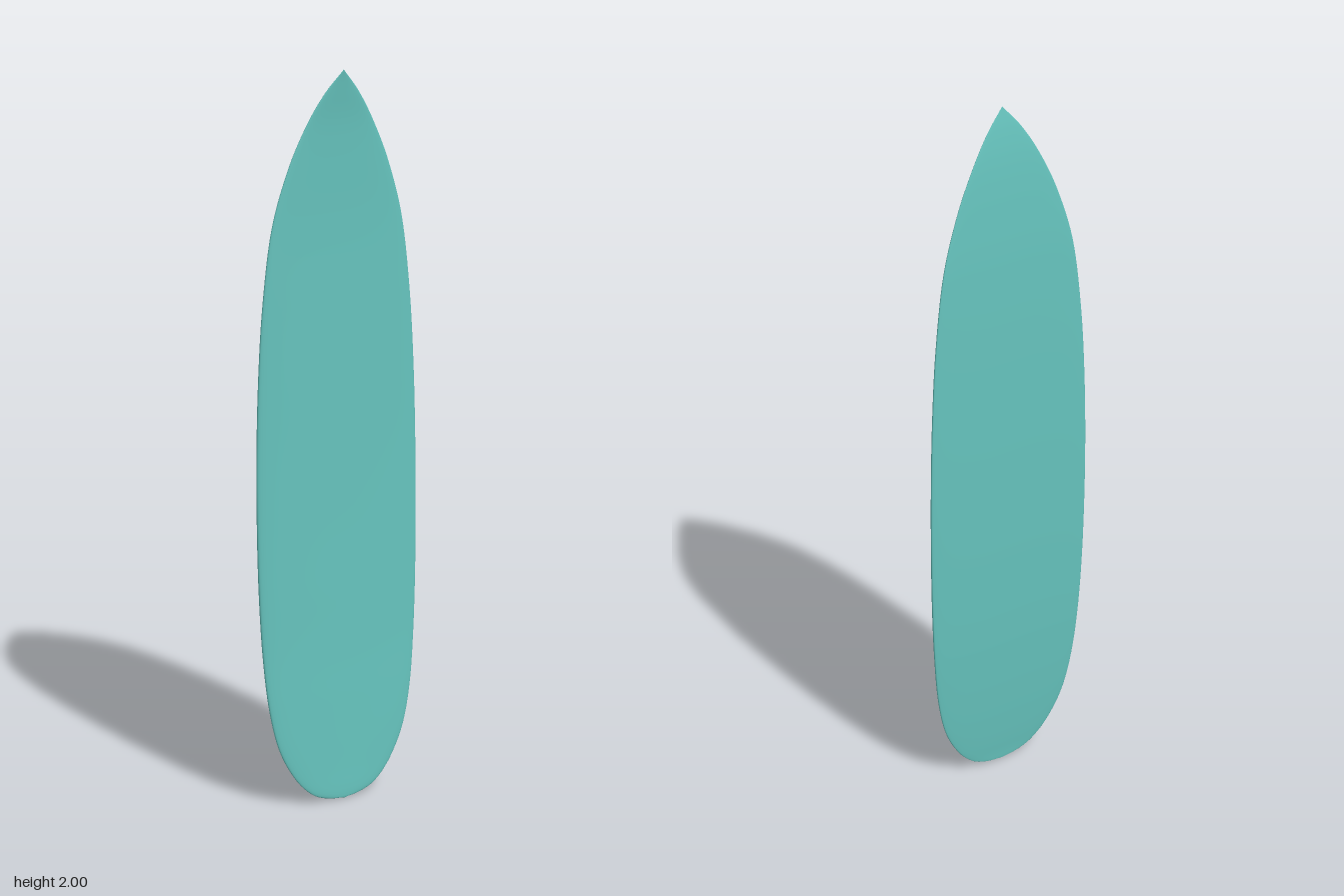
import * as THREE from 'three';

// Stations from tail to nose: [height, half width, z of the bottom, thickness]
const STATIONS = [
  [0.004, 0, 0.018, 0.005], [0.012, 0.055, 0.017, 0.007], [0.035, 0.103, 0.015, 0.009],
  [0.09, 0.152, 0.0095, 0.0125], [0.18, 0.196, 0.002, 0.017], [0.3, 0.222, -0.006, 0.021],
  [0.45, 0.236, -0.014, 0.024], [0.62, 0.243, -0.0195, 0.026], [0.8, 0.245, -0.023, 0.026],
  [1.0, 0.243, -0.025, 0.025], [1.2, 0.236, -0.025, 0.023], [1.4, 0.222, -0.0235, 0.02],
  [1.6, 0.195, -0.02, 0.016], [1.75, 0.15, -0.013, 0.012], [1.86, 0.1, -0.005, 0.008],
  [1.94, 0.051, 0.005, 0.005], [2.0, 0, 0.016, 0.001],
];

// Rounded power used for the superelliptic cross-section
const pow = (v, e) => Math.sign(v) * Math.pow(Math.abs(v), e);

function boardGeometry(rows = 128, sides = 64) {
  const outline = new THREE.CatmullRomCurve3(
    STATIONS.map(([y, w, z]) => new THREE.Vector3(w, y, z)), false, 'catmullrom', 0.5);
  const thickness = new THREE.SplineCurve(STATIONS.map(([y, , , t]) => new THREE.Vector2(y, t)));
  const positions = [];
  const indices = [];
  for (let r = 0; r <= rows; r++) {
    const p = outline.getPoint(r / rows);
    const t = thickness.getPoint(r / rows).y;
    const rail = p.z + 0.3 * t;
    for (let s = 0; s < sides; s++) {
      // Domed deck towards +z, flatter bottom towards -z, soft rails between
      const a = (s / sides) * Math.PI * 2;
      const c = Math.cos(a);
      const n = Math.sin(a);
      const e = n >= 0 ? 0.8 : 0.5;
      const h = n >= 0 ? 0.7 * t : 0.3 * t;
      positions.push(Math.max(p.x, 0) * pow(c, e), p.y, rail + h * pow(n, e));
      if (r < rows) {
        const i = r * sides + s;
        const j = r * sides + ((s + 1) % sides);
        indices.push(i, i + sides, j, j, i + sides, j + sides);
      }
    }
  }
  const geometry = new THREE.BufferGeometry();
  geometry.setAttribute('position', new THREE.Float32BufferAttribute(positions, 3));
  geometry.setIndex(indices);
  geometry.computeVertexNormals();
  return geometry;
}

export function createModel() {
  const group = new THREE.Group();
  group.name = 'surfboard';
  const board = new THREE.Mesh(
    boardGeometry(),
    new THREE.MeshStandardMaterial({ color: 0x66c4be, side: THREE.DoubleSide }));
  board.name = 'board';
  group.add(board);
  return group;
}
